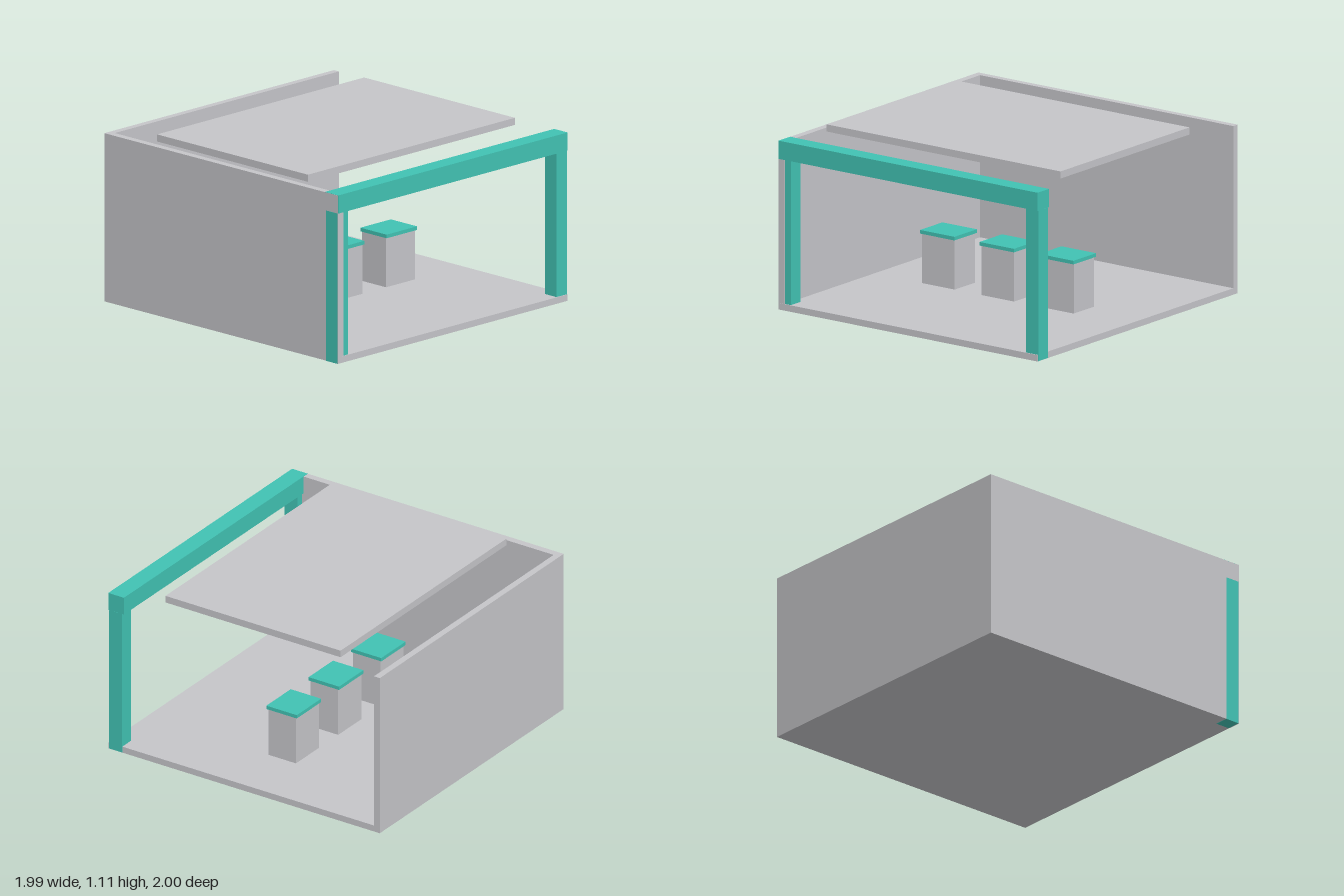
import * as THREE from 'three';

export function createModel() {
  const model = new THREE.Group();
  model.name = 'exhibitionBooth';

  const grey = new THREE.MeshStandardMaterial({ color: 0xc5c5c9 });
  grey.name = 'light grey';
  const teal = new THREE.MeshStandardMaterial({ color: 0x41c2b3 });
  teal.name = 'teal';

  // Box given by its lower and upper limits on each axis
  function box(name, material, [x0, x1], [y0, y1], [z0, z1], parent = model) {
    const mesh = new THREE.Mesh(new THREE.BoxGeometry(x1 - x0, y1 - y0, z1 - z0), material);
    mesh.position.set((x0 + x1) / 2, (y0 + y1) / 2, (z0 + z1) / 2);
    mesh.name = name;
    parent.add(mesh);
    return mesh;
  }

  const W = 0.995, H = 1.065, E = 0.001; // half width, wall height, small offset

  // Floor and the two walls
  box('floor', grey, [-W, W], [E, 0.042], [-1, 1]);
  box('backWall', grey, [-W, W], [E, H], [-1, -0.957]);
  box('sideWall', grey, [-W, -0.949], [E, H], [-0.957, 1 - E]);

  // Front portal: two posts and a beam, offset a hair from the walls
  box('sideWallPost', teal, [-W - E, -0.903], [0, 0.951], [0.897, 0.995]);
  box('openSidePost', teal, [0.903, W + E], [2 * E, 0.951], [0.897, 0.995]);
  box('frontBeam', teal, [-W + E, W], [0.951, H + E], [0.885, 1]);

  // Floating ceiling panel
  box('ceilingPanel', grey, [-0.898, 0.898], [1.063, 1.108], [-0.645, 0.645]);

  // Row of three display pedestals with teal tops
  for (const x of [-0.457, 0, 0.457]) {
    const pedestal = new THREE.Group();
    pedestal.name = 'pedestal';
    pedestal.position.x = x;
    box('pedestalBase', grey, [-0.126, 0.126], [0.042, 0.355], [-0.102, 0.102], pedestal);
    box('pedestalTop', teal, [-0.132, 0.132], [0.355, 0.378], [-0.112, 0.112], pedestal);
    model.add(pedestal);
  }

  return model;
}
